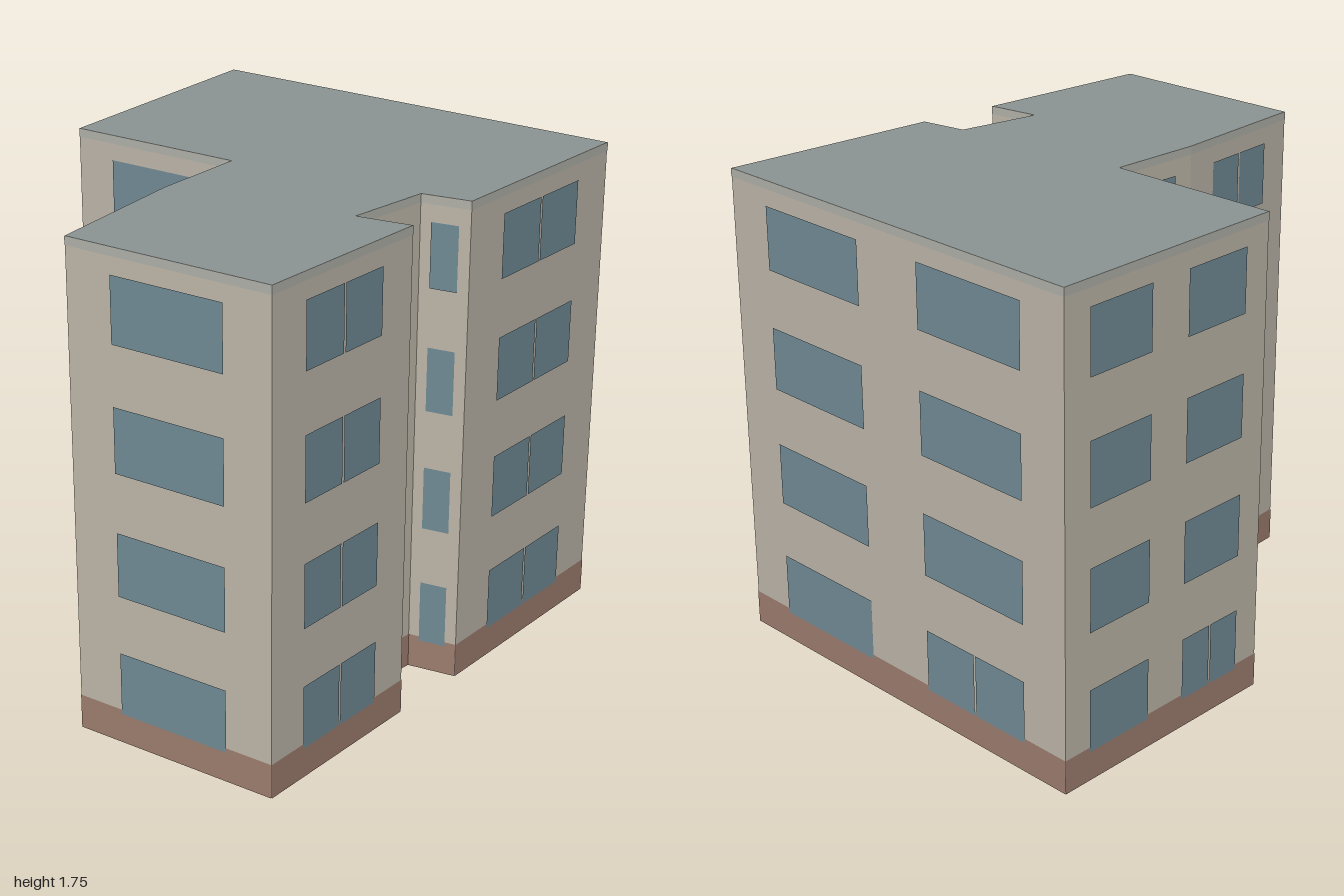
import * as THREE from 'three';
import { mergeGeometries } from 'three/addons/utils/BufferGeometryUtils.js';

const HEIGHT = 1.75;
const PLINTH = 0.125;
const FLOORS = 4, FLOOR_STEP = 0.44, SILL = 0.11, WINDOW_H = 0.23;
const MULLION = 0.008;

// Footprint corners [x, z], counter-clockwise seen from above, starting front left
const OUTLINE = [
  [-0.82, 0.93], [-0.135, 0.83], [-0.205, 0.645], [0.11, 0.625], [0.175, 0.79], [1, 0.66],
  [0.675, -0.935], [-0.255, -0.705], [-0.11, -0.055], [-0.46, 0.015], [-1, 0.18],
];
const TWO_BAY_WALLS = [5, 6];
const SPLIT_WALLS = [0, 2, 4, 8, 9];

// Flat panel on wall i, from fraction u0 to u1 along it and y0 to y1 in height
function panel(i, u0, u1, y0, y1, offset = 0) {
  const [ax, az] = OUTLINE[i];
  const [bx, bz] = OUTLINE[(i + 1) % OUTLINE.length];
  const dx = bx - ax, dz = bz - az, length = Math.hypot(dx, dz), u = (u0 + u1) / 2;
  return new THREE.PlaneGeometry(length * (u1 - u0), y1 - y0)
    .rotateY(Math.atan2(-dz, dx))
    .translate(ax + dx * u - (dz / length) * offset, (y0 + y1) / 2, az + dz * u + (dx / length) * offset);
}

// One window; split ones are two panes with a thin strip of wall between
function windowPanes(i, u0, u1, y, split) {
  const top = y + WINDOW_H;
  if (!split) return [panel(i, u0, u1, y, top, 0.004)];
  const [ax, az] = OUTLINE[i];
  const [bx, bz] = OUTLINE[(i + 1) % OUTLINE.length];
  const gap = MULLION / 2 / Math.hypot(bx - ax, bz - az), mid = (u0 + u1) / 2;
  return [panel(i, u0, mid - gap, y, top, 0.004), panel(i, mid + gap, u1, y, top, 0.004)];
}

export function createModel() {
  const group = new THREE.Group();
  const add = (name, geometry, color, side = THREE.FrontSide) => {
    const mesh = new THREE.Mesh(geometry, new THREE.MeshStandardMaterial({ color, side }));
    mesh.name = name;
    group.add(mesh);
  };
  const allWalls = (y0, y1, offset) =>
    mergeGeometries(OUTLINE.map((_, i) => panel(i, 0, 1, y0, y1, offset)));

  // Shell, open underneath
  add('walls', allWalls(0, HEIGHT, 0), 0xbcb5a8, THREE.DoubleSide);
  add('plinth', allWalls(0, PLINTH, 0.002), 0x9c7c6e);
  add('roofEdge', allWalls(HEIGHT - 0.03, HEIGHT, 0.002), 0xb0b0a8);

  // Flat roof
  const shape = new THREE.Shape(OUTLINE.map(([x, z]) => new THREE.Vector2(x, -z)));
  const roof = new THREE.ShapeGeometry(shape).rotateX(-Math.PI / 2).translate(0, HEIGHT, 0);
  add('roof', roof, 0x8a9492, THREE.DoubleSide);

  // Windows on every wall and floor
  const panes = [];
  OUTLINE.forEach((_, i) => {
    for (let floor = 0; floor < FLOORS; floor++) {
      const y = SILL + floor * FLOOR_STEP;
      if (TWO_BAY_WALLS.includes(i)) {
        panes.push(...windowPanes(i, 0.116, 0.41, y, false));
        panes.push(...windowPanes(i, 0.59, 0.884, y, floor === 0));
      } else {
        panes.push(...windowPanes(i, 0.226, 0.774, y, SPLIT_WALLS.includes(i)));
      }
    }
  });
  add('windows', mergeGeometries(panes), 0x708a94);

  return group;
}
